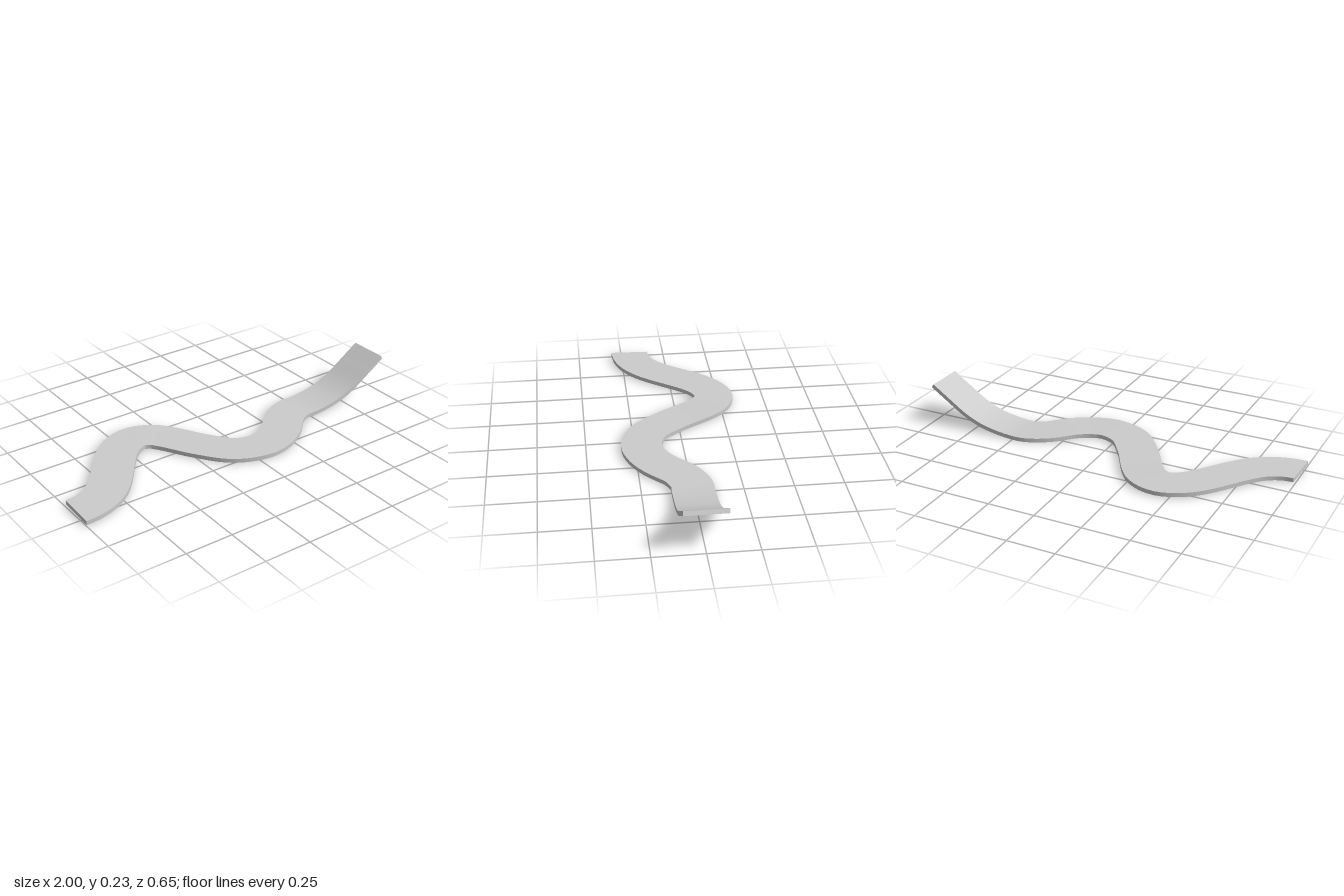
import * as THREE from 'three';
import { toCreasedNormals } from 'three/addons/utils/BufferGeometryUtils.js';

const WIDTH = 0.21, THICK = 0.022, STEPS = 140;

// Centre line of the track: x, y, z
const PATH = [
  [-0.995, 0.018, 0.202], [-0.93, 0.018, 0.195], [-0.86, 0.018, 0.172], [-0.79, 0.018, 0.127],
  [-0.726, 0.018, 0.06], [-0.57, 0.018, -0.14], [-0.5, 0.018, -0.197], [-0.414, 0.018, -0.225],
  [-0.332, 0.018, -0.194], [-0.28, 0.017, -0.137], [-0.17, 0.016, 0.04], [-0.06, 0.016, 0.17],
  [0.07, 0.016, 0.215], [0.17, 0.015, 0.195], [0.26, 0.015, 0.142], [0.37, 0.014, 0.04],
  [0.46, 0.013, 0], [0.52, 0.014, 0], [0.6, 0.023, 0], [0.7, 0.046, 0],
  [0.79, 0.086, 0], [0.89, 0.151, 0], [0.99, 0.219, 0],
].map((p) => new THREE.Vector3(...p));

// Sweep a flat rectangle along the path, keeping its width level
function ribbonGeometry() {
  const curve = new THREE.CatmullRomCurve3(PATH, false, 'centripetal');
  const up = new THREE.Vector3(0, 1, 0);
  const pos = [], index = [];
  for (let i = 0; i <= STEPS; i++) {
    const u = i / STEPS;
    const p = curve.getPointAt(u);
    const t = curve.getTangentAt(u);
    if (i === 0) t.set(1, 0, 0.04).normalize();
    const side = new THREE.Vector3().crossVectors(t, up).normalize();
    const normal = new THREE.Vector3().crossVectors(side, t);
    for (const [s, n] of [[-1, 1], [1, 1], [1, -1], [-1, -1]]) {
      const v = p.clone().addScaledVector(side, s * WIDTH / 2).addScaledVector(normal, n * THICK / 2);
      pos.push(v.x, Math.max(v.y, 0), v.z);
    }
  }
  // Four long faces
  for (let i = 0; i < STEPS; i++) {
    for (let k = 0; k < 4; k++) {
      const a = i * 4 + k, b = i * 4 + (k + 1) % 4;
      index.push(a, b, b + 4, a, b + 4, a + 4);
    }
  }
  // End caps
  const e = STEPS * 4;
  index.push(0, 3, 2, 0, 2, 1, e, e + 1, e + 2, e, e + 2, e + 3);
  const geo = new THREE.BufferGeometry();
  geo.setAttribute('position', new THREE.Float32BufferAttribute(pos, 3));
  geo.setIndex(index);
  return toCreasedNormals(geo, 0.6);
}

export function createModel() {
  const group = new THREE.Group();
  group.name = 'windingTrack';
  const track = new THREE.Mesh(ribbonGeometry(), new THREE.MeshStandardMaterial({ color: 0xcccccc }));
  track.name = 'trackRibbon';
  group.add(track);
  return group;
}
